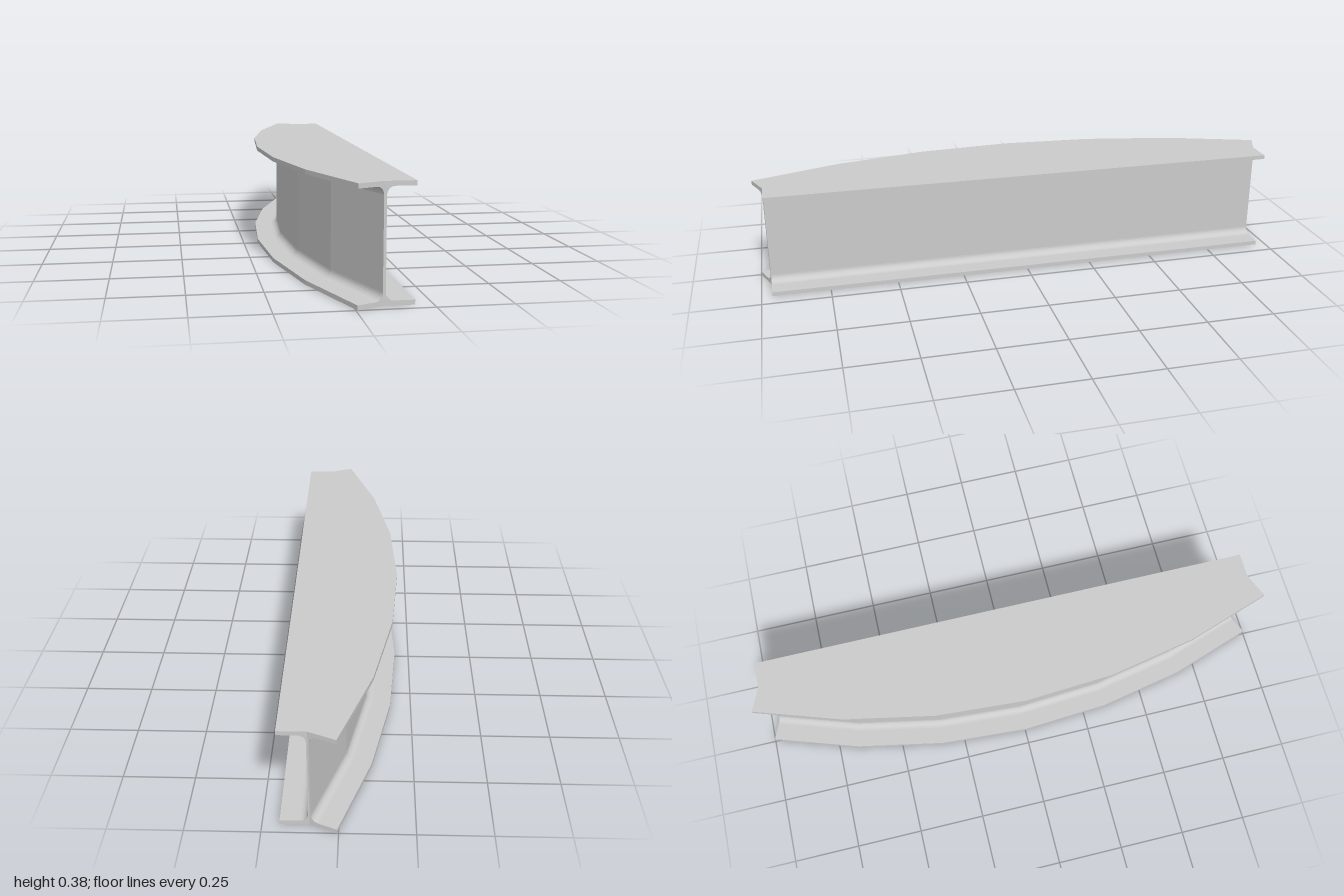
import * as THREE from 'three';

const HEIGHT = 0.385, FLANGE = 0.0155, FILLET = 0.026;
const WEB = 0.005;       // half thickness of the web at the beam ends
const REACH = 0.0975;    // flange reach from the web centre line
const WEB_X = 0.095, HALF_LENGTH = 0.962;
const HALF_ANGLE = THREE.MathUtils.degToRad(22.6), STEPS = 6;
const RADIUS = HALF_LENGTH / Math.sin(HALF_ANGLE);

// Half of the I section, as (distance from web centre, height), bottom to top
function halfProfile() {
  const lower = [[0, 0], [REACH, 0], [REACH, FLANGE]];
  for (let i = 0; i <= 6; i++) {
    const a = (i / 6) * Math.PI / 2;
    lower.push([
      WEB + FILLET * (1 - Math.sin(a)),
      FLANGE + FILLET * (1 - Math.cos(a)),
    ]);
  }
  const upper = lower.map(([d, y]) => [d, HEIGHT - y]).reverse();
  return [...lower, ...upper].map(([d, y]) => new THREE.Vector2(d, y));
}

// Loft the half section through all stations and close both ends
function loftSide(place, flip) {
  const profile = halfProfile();
  const n = profile.length;
  const positions = [], index = [];
  const tri = (a, b, c) => index.push(...(flip ? [a, c, b] : [a, b, c]));

  for (let s = 0; s <= STEPS; s++) {
    const angle = HALF_ANGLE * (2 * s / STEPS - 1);
    for (const p of profile) {
      const [x, z] = place(angle, p.x);
      positions.push(x, p.y, z);
    }
  }
  for (let s = 0; s < STEPS; s++) {
    for (let i = 0; i < n - 1; i++) {
      const a = s * n + i;
      tri(a, a + 1, a + n + 1);
      tri(a, a + n + 1, a + n);
    }
  }
  for (const [a, b, c] of THREE.ShapeUtils.triangulateShape(profile, [])) {
    const end = STEPS * n;
    tri(a, c, b);
    tri(end + a, end + b, end + c);
  }

  const indexed = new THREE.BufferGeometry();
  indexed.setAttribute('position', new THREE.Float32BufferAttribute(positions, 3));
  indexed.setIndex(index);
  const geometry = indexed.toNonIndexed();
  geometry.computeVertexNormals();
  return geometry;
}

// Point on the arc at a given distance outside the curved web line
function arcPoint(angle, d) {
  const r = RADIUS + d;
  return [
    WEB_X + RADIUS * Math.cos(HALF_ANGLE) - r * Math.cos(angle),
    r * Math.sin(angle),
  ];
}

// The straight side meets the arc only at the centre of the flanges
function straightPoint(angle, d) {
  const [x, z] = arcPoint(angle, 0);
  return [d === 0 ? x : WEB_X + d, z];
}

export function createModel() {
  const group = new THREE.Group();
  group.name = 'bowedBeam';
  const material = new THREE.MeshStandardMaterial({ color: 0xcccccc, flatShading: true });

  const curved = new THREE.Mesh(loftSide(arcPoint, true), material);
  curved.name = 'curvedSide';
  const straight = new THREE.Mesh(loftSide(straightPoint, false), material);
  straight.name = 'straightSide';

  group.add(curved, straight);
  return group;
}
